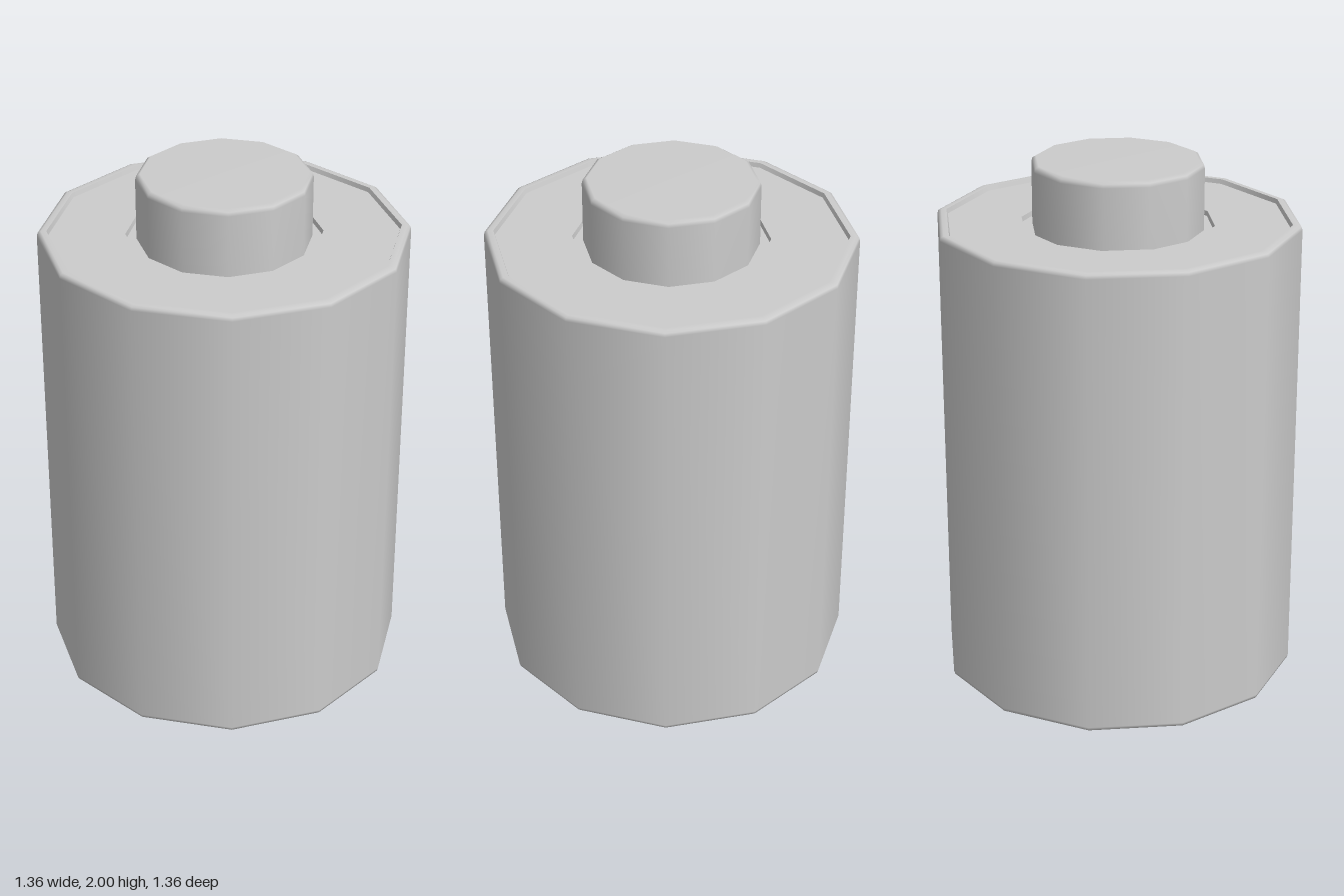
import * as THREE from 'three';

const SIDES = 12;

// Revolve a profile of [radius, height] points, listed from bottom to top along the outside
function lathe(name, profile, material) {
  const points = profile.map(([r, y]) => new THREE.Vector2(r, y));
  const mesh = new THREE.Mesh(new THREE.LatheGeometry(points, SIDES), material);
  mesh.name = name;
  return mesh;
}

export function createModel() {
  const group = new THREE.Group();
  group.name = 'battery';
  const material = new THREE.MeshStandardMaterial({ color: 0xcccccc });
  const add = (name, profile) => group.add(lathe(name, profile, material));

  // Casing: flat base, softly bevelled wall and a narrow rim
  add('base', [[0, 0], [0.665, 0]]);
  add('casing', [
    [0.665, 0], [0.676, 0.005], [0.68, 0.018],
    [0.68, 1.762], [0.676, 1.775], [0.665, 1.78], [0.645, 1.78],
  ]);
  add('rimInnerWall', [[0.645, 1.78], [0.64, 1.763]]);

  // Slightly sunken top plate with a shallow groove around the terminal
  add('topPlate', [[0.64, 1.763], [0.36, 1.763]]);
  add('grooveWall', [[0.36, 1.763], [0.357, 1.745]]);
  add('grooveFloor', [[0.357, 1.745], [0.32, 1.745]]);

  // Terminal: short stud with a softened top edge
  add('terminal', [
    [0.32, 1.745], [0.32, 1.978], [0.316, 1.992], [0.303, 2], [0, 2],
  ]);

  return group;
}
